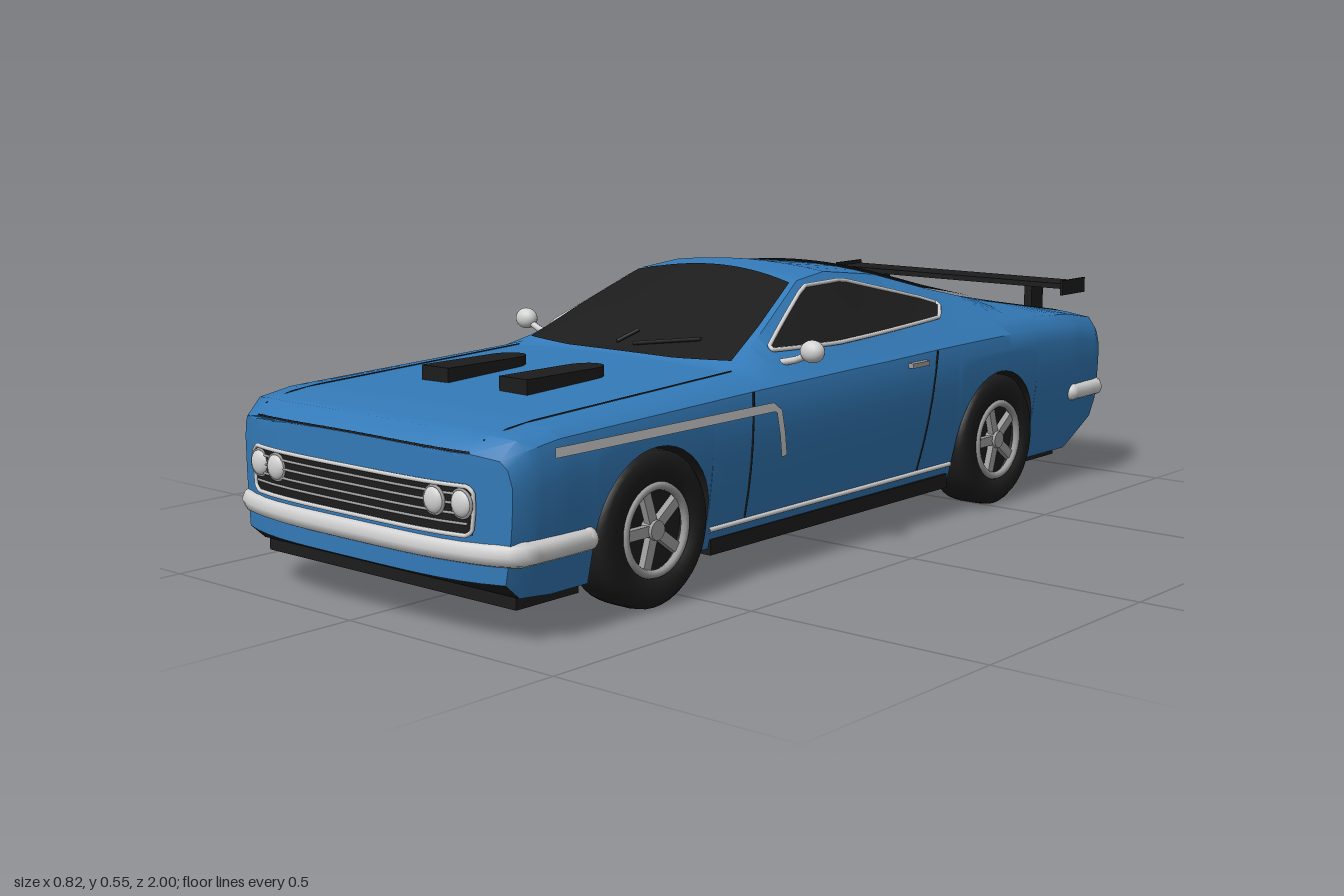
import * as THREE from 'three';
import { toCreasedNormals } from 'three/addons/utils/BufferGeometryUtils.js';

const V = (x, y, z) => new THREE.Vector3(x, y, z);
const mat = (name, color, side = THREE.DoubleSide) => new THREE.MeshStandardMaterial({ name, color, side });

// Body stations: z, shoulder y, half width, cabin base x, y, roof edge x, y, centre y, sill y
const STATIONS = [
  [0.985, 0.305, 0.355, 0.335, 0.32, 0.28, 0.328, 0.332, 0.11],
  [0.95, 0.335, 0.366, 0.34, 0.35, 0.29, 0.355, 0.36, 0.082],
  [0.85, 0.345, 0.37, 0.345, 0.36, 0.29, 0.365, 0.37, 0.075],
  [0.3, 0.36, 0.37, 0.335, 0.379, 0.285, 0.386, 0.395, 0.075],
  [0.17, 0.362, 0.37, 0.318, 0.393, 0.257, 0.448, 0.462, 0.075],
  [0, 0.365, 0.37, 0.316, 0.4, 0.208, 0.528, 0.543, 0.075],
  [-0.1, 0.366, 0.37, 0.316, 0.402, 0.2, 0.538, 0.551, 0.075],
  [-0.28, 0.37, 0.37, 0.318, 0.405, 0.197, 0.517, 0.531, 0.075],
  [-0.47, 0.372, 0.37, 0.325, 0.405, 0.203, 0.47, 0.484, 0.075],
  [-0.65, 0.372, 0.37, 0.335, 0.4, 0.215, 0.43, 0.442, 0.075],
  [-0.85, 0.365, 0.37, 0.34, 0.388, 0.255, 0.396, 0.404, 0.075],
  [-0.96, 0.35, 0.366, 0.34, 0.372, 0.27, 0.379, 0.386, 0.14],
  [-0.985, 0.335, 0.357, 0.335, 0.355, 0.27, 0.364, 0.369, 0.18],
];
const SIDE_GLASS = [[0.19, 0.413, 0.42], [0, 0.408, 0.515], [-0.13, 0.412, 0.517], [-0.37, 0.422, 0.46], [-0.415, 0.44, 0.446]];
const AXLES = [0.6, -0.52], ARCH = 0.152, HUB_Y = 0.145;

// Linear lookup in a table sorted by falling z
function at(table, z) {
  let i = 0;
  while (i < table.length - 2 && z < table[i + 1][0]) i++;
  const a = table[i], b = table[i + 1];
  const t = THREE.MathUtils.clamp((a[0] - z) / (a[0] - b[0]), 0, 1);
  return a.map((v, k) => v + (b[k] - v) * t);
}
// Curves the nose and tail in plan
function bend(p) {
  const k = THREE.MathUtils.smoothstep(Math.abs(p.z), 0.8, 0.985) * Math.pow(Math.abs(p.x) / 0.37, 4);
  p.z -= k * (p.z > 0 ? 0.05 : -0.025);
  return p;
}
// Point on the bonnet, glass or roof; v runs -1..1 across
function top(z, v, lift = 0) {
  const k = at(STATIONS, z);
  return bend(V(v * k[5], k[6] + (k[7] - k[6]) * (1 - v * v) + lift, z));
}
// Point on the flank, s is the side
function flank(s, z, y, out = 0) {
  const k = at(STATIONS, z), d = Math.max(0, k[1] - 0.03 - y);
  return bend(V(s * (k[2] - 0.5 * d * d + out), y, z));
}
function cabinSide(s, z, y, out = 0) {
  const k = at(STATIONS, z), u = (y - k[4]) / (k[6] - k[4]);
  return V(s * (k[3] + (k[5] - k[3]) * u + out), y + out * 0.6, z);
}
function sill(z) {
  let y = at(STATIONS, z)[8];
  for (const c of AXLES) {
    const d = Math.abs(z - c);
    if (d <= ARCH + 1e-6) y = HUB_Y + Math.sqrt(Math.max(0, ARCH * ARCH - d * d));
  }
  return y;
}
function halfRing(z) {
  const k = at(STATIONS, z), yb = sill(z), ym = k[1] - 0.03, pts = [];
  for (let i = 0; i <= 5; i++) {
    const y = yb + (ym - yb) * i / 5;
    pts.push([k[2] - 0.5 * (ym - y) ** 2, y]);
  }
  pts.push([k[2] - 0.007, k[1]], [k[3], k[4]]);
  for (const v of [1, 0.75, 0.5, 0.25, 0]) pts.push([v * k[5], k[6] + (k[7] - k[6]) * (1 - v * v)]);
  return pts;
}
// Surface from rows of points
function grid(rows, crease = 0.6) {
  const n = rows[0].length, index = [];
  for (let r = 0; r < rows.length - 1; r++) for (let c = 0; c < n - 1; c++) {
    const a = r * n + c, b = a + n;
    index.push(a, b, a + 1, a + 1, b, b + 1);
  }
  const g = new THREE.BufferGeometry().setFromPoints(rows.flat());
  g.setIndex(index);
  return toCreasedNormals(g, crease);
}
const range = (n, a, b) => Array.from({ length: n + 1 }, (_, i) => a + (b - a) * i / n);

export function createModel() {
  const car = new THREE.Group();
  car.name = 'coupe';
  const blue = mat('blue paint', 0x337ab8), black = mat('black trim', 0x1c1c1c), chrome = mat('chrome', 0xd2d2d2);
  const red = mat('tail lamp red', 0x9a0c20), alloy = mat('alloy', 0x9c9c9c), steel = mat('exhaust steel', 0x4a4a4a);

  const add = (name, geo, m, parent = car) => {
    const mesh = new THREE.Mesh(geo, m);
    mesh.name = name;
    parent.add(mesh);
    return mesh;
  };
  const box = (name, w, h, d, x, y, z, m, parent) => {
    const b = add(name, new THREE.BoxGeometry(w, h, d), m, parent);
    b.position.set(x, y, z);
    return b;
  };
  const rod = (name, pts, r, m, closed = false, tension = 0) => {
    const curve = new THREE.CatmullRomCurve3(pts, closed, 'catmullrom', tension);
    return add(name, new THREE.TubeGeometry(curve, pts.length * 6, r, 8, closed), m);
  };

  // Body shell with wheel arches
  const zs = [...STATIONS.map(k => k[0]), ...range(60, -0.95, 0.95)];
  for (const c of AXLES) {
    for (const a of range(20, 0, Math.PI)) zs.push(c + ARCH * Math.cos(a));
    zs.push(c + ARCH + 0.001, c - ARCH - 0.001);
  }
  zs.sort((a, b) => a - b);
  const stations = zs.filter((z, i) => i === 0 || z - zs[i - 1] > 1e-5);
  const shell = stations.map(z => {
    const h = halfRing(z);
    const left = h.map(([x, y]) => bend(V(-x, y, z)));
    const right = h.slice(0, -1).reverse().map(([x, y]) => bend(V(x, y, z)));
    return [...left, ...right];
  });
  add('body', grid(shell), blue);
  add('wheel wells', grid(shell.map(r => [r[r.length - 1].clone(), r[0].clone()])), black);
  for (const [name, z, s] of [['nose', 0.985, -1], ['tail', -0.985, 1]]) {
    add(name, grid(halfRing(z).map(([x, y]) => range(16, -s, s).map(t => bend(V(-x * t * -1, y, z))))), blue);
  }

  // Underside
  box('floor', 0.5, 0.1, 1.7, 0, 0.112, 0.02, black);
  box('mid floor', 0.69, 0.03, 0.78, 0, 0.078, 0.04, black);
  box('front lip', 0.66, 0.03, 0.15, 0, 0.074, 0.84, black);
  box('rear floor', 0.64, 0.03, 0.14, 0, 0.076, -0.76, black);
  rod('exhaust pipe', [V(0.035, 0.057, 0.48), V(0.035, 0.057, -0.7)], 0.01, steel);
  box('exhaust box', 0.06, 0.024, 0.13, 0.035, 0.056, 0.0, steel);
  const muffler = add('muffler', new THREE.SphereGeometry(1, 24, 12), steel);
  muffler.scale.set(0.16, 0.02, 0.06);
  muffler.position.set(0.02, 0.06, -0.72);

  // Glass
  const across = range(20, -0.96, 0.96);
  add('windshield', grid(range(16, 0, 1).map(t => across.map(v =>
    top(0.002 + 0.02 * v * v + t * (0.305 - 0.05 * v * v), v, 0.006)))), black);
  add('rear window', grid(range(16, 0, 1).map(t => across.map(v =>
    top(-0.66 + 0.015 * v * v + t * (0.375 - 0.02 * v * v), v, 0.006)))), black);
  for (const s of [-1, 1]) {
    const cols = [...range(20, 0.19, -0.37), -0.385, -0.4, -0.415];
    const edge = k => cols.map(z => cabinSide(s, z, at(SIDE_GLASS, z)[k], 0.006));
    add('side window', grid(cols.map(z => {
      const [, lo, hi] = at(SIDE_GLASS, z);
      return range(6, lo, hi).map(y => cabinSide(s, z, y, 0.006));
    })), black);
    rod('side window trim', [...edge(2), ...edge(1).reverse()], 0.0045, chrome, true);
    rod('wiper', [top(0.285, s * 0.08, 0.012), top(0.245, s * 0.3 + 0.3, 0.012)], 0.004, black);
  }

  // Flank details
  for (const s of [-1, 1]) {
    const stripe = [...range(10, 0.88, 0.28).map(z => [z, 0.325]), [0.262, 0.315], [0.25, 0.27], [0.24, 0.225]];
    add('side stripe', grid(stripe.map(([z, y], i) => {
      const down = i > 10, dz = down ? 0.008 : 0, dy = down ? 0.001 : 0.009;
      return [flank(s, z - dz, y + dy, 0.004), flank(s, z + dz, y - dy, 0.004)];
    })), chrome);
    rod('sill trim', range(6, 0.44, -0.36).map(z => flank(s, z, 0.113, 0.001)), 0.005, chrome);
    rod('door front seam', range(5, 0.12, 0.36).map(y => flank(s, 0.335, y)), 0.002, black);
    rod('door rear seam', range(5, 0.12, 0.37).map(y => flank(s, -0.235 - 0.15 * (y - 0.12), y)), 0.002, black);
    rod('bonnet seam', range(10, 0.96, 0.3).map(z => top(z, s)), 0.002, black);
    rod('boot seam', range(6, -0.68, -0.97).map(z => top(z, s)), 0.002, black);
    box('door handle', 0.014, 0.01, 0.06, s * 0.372, 0.35, -0.2, alloy);

    // Mirror
    rod('mirror arm', [V(s * 0.3, 0.39, 0.18), V(s * 0.345, 0.4, 0.18), V(s * 0.375, 0.412, 0.178)], 0.007, chrome);
    const m = add('mirror', new THREE.SphereGeometry(1, 20, 14), chrome);
    m.scale.set(0.026, 0.022, 0.02);
    m.position.set(s * 0.386, 0.42, 0.178);

    // Bonnet scoop, rounded at its rear
    const plan = new THREE.Shape();
    plan.moveTo(-0.036, -0.695);
    plan.lineTo(0.036, -0.695);
    plan.lineTo(0.036, -0.515);
    plan.absellipse(0, -0.515, 0.036, 0.045, 0, Math.PI, false);
    const scoop = new THREE.ExtrudeGeometry(plan, { depth: 0.036, bevelEnabled: false, curveSegments: 10 });
    scoop.rotateX(-Math.PI / 2);
    add('bonnet scoop', scoop, black).position.set(s * 0.104, 0.368, 0);
  }
  rod('bonnet front seam', range(12, -1, 1).map(v => top(0.983, v)), 0.002, black);

  // Bumpers
  const bumper = (name, y, r, half) => {
    const pts = [...half, ...half.slice(0, -1).reverse().map(([x, z]) => [-x, z])].map(([x, z]) => V(x, y, z));
    rod(name, pts, r, chrome, false, 0.5);
    for (const p of [pts[0], pts[pts.length - 1]]) add(name + ' end', new THREE.SphereGeometry(r, 12, 8), chrome).position.copy(p);
  };
  bumper('front bumper', 0.16, 0.022, [[0.355, 0.77], [0.356, 0.88], [0.34, 0.94], [0.2, 0.972], [0, 0.978]]);
  bumper('rear bumper', 0.21, 0.02, [[0.358, -0.84], [0.358, -0.92], [0.342, -0.962], [0.2, -0.978], [0, -0.98]]);

  // Grille and headlamps
  const face = (x, y, out) => bend(V(x, y, 0.985)).add(V(0, 0, out));
  add('grille', grid(range(1, 0.192, 0.272).map(y => range(20, 0.288, -0.288).map(x => face(x, y, 0.004)))), black);
  for (const y of [0.21, 0.226, 0.243, 0.259]) rod('grille bar', range(10, -0.28, 0.28).map(x => face(x, y, 0.005)), 0.0025, alloy);
  const frame = [...range(12, -0.28, 0.28).map(x => face(x, 0.274, 0.005)), face(0.291, 0.265, 0.005), face(0.291, 0.23, 0.005),
    face(0.287, 0.198, 0.005), ...range(12, 0.275, -0.275).map(x => face(x, 0.19, 0.005)), face(-0.287, 0.198, 0.005),
    face(-0.291, 0.23, 0.005), face(-0.291, 0.265, 0.005)];
  rod('grille frame', frame, 0.004, chrome, true);
  for (const x of [-0.268, -0.21, 0.21, 0.268]) {
    const lamp = add('headlamp', new THREE.SphereGeometry(0.024, 20, 12), chrome);
    lamp.scale.z = 0.5;
    lamp.position.copy(face(x, 0.244, 0.004));
    const ring = add('headlamp ring', new THREE.TorusGeometry(0.024, 0.003, 6, 24), alloy);
    ring.position.copy(face(x, 0.244, 0.005));
  }

  // Tail lamps and plate
  const back = (x, y, out) => bend(V(x, y, -0.985)).add(V(0, 0, -out));
  for (const s of [-1, 1]) {
    const xs = range(10, s * 0.075, s * 0.325);
    add('tail lamp', grid([0.3, 0.34].map(y => xs.map(x => back(x, y, 0.004)))), red);
    rod('tail lamp trim', [...xs.map(x => back(x, 0.342, 0.004)), ...xs.slice().reverse().map(x => back(x, 0.298, 0.004))], 0.0035, chrome, true);
  }
  box('number plate', 0.15, 0.045, 0.008, 0, 0.283, -0.988, chrome);

  // Rear wing
  box('wing blade', 0.64, 0.012, 0.09, 0, 0.45, -0.897, black);
  for (const s of [-1, 1]) {
    box('wing end plate', 0.006, 0.034, 0.1, s * 0.322, 0.447, -0.895, black);
    box('wing post', 0.02, 0.075, 0.05, s * 0.22, 0.412, -0.892, black);
  }

  // Wheels
  const tyreProfile = [[0.088, -0.046], [0.115, -0.05], [0.134, -0.047], [0.143, -0.038], [0.145, -0.02],
    [0.145, 0.02], [0.143, 0.038], [0.134, 0.047], [0.115, 0.05], [0.088, 0.046], [0.084, 0.02]].map(p => new THREE.Vector2(...p));
  for (const z of AXLES) for (const s of [-1, 1]) {
    const wheel = new THREE.Group();
    wheel.name = 'wheel';
    wheel.position.set(s * 0.319, HUB_Y, z);
    wheel.rotation.z = -s * Math.PI / 2;
    car.add(wheel);
    add('tyre', new THREE.LatheGeometry(tyreProfile, 40), black, wheel);
    add('wheel disc', new THREE.CylinderGeometry(0.087, 0.087, 0.05, 32), black, wheel);
    const rim = add('rim', new THREE.TorusGeometry(0.08, 0.008, 8, 36), alloy, wheel);
    rim.rotation.x = Math.PI / 2;
    rim.position.y = 0.043;
    add('hub', new THREE.CylinderGeometry(0.018, 0.022, 0.03, 20), alloy, wheel).position.y = 0.034;
    for (let i = 0; i < 5; i++) {
      const a = Math.PI / 2 + i * Math.PI * 0.4;
      const spoke = box('spoke', 0.066, 0.014, 0.02, Math.cos(a) * 0.047, 0.036, Math.sin(a) * 0.047, alloy, wheel);
      spoke.rotation.y = -a;
    }
  }
  return car;
}
